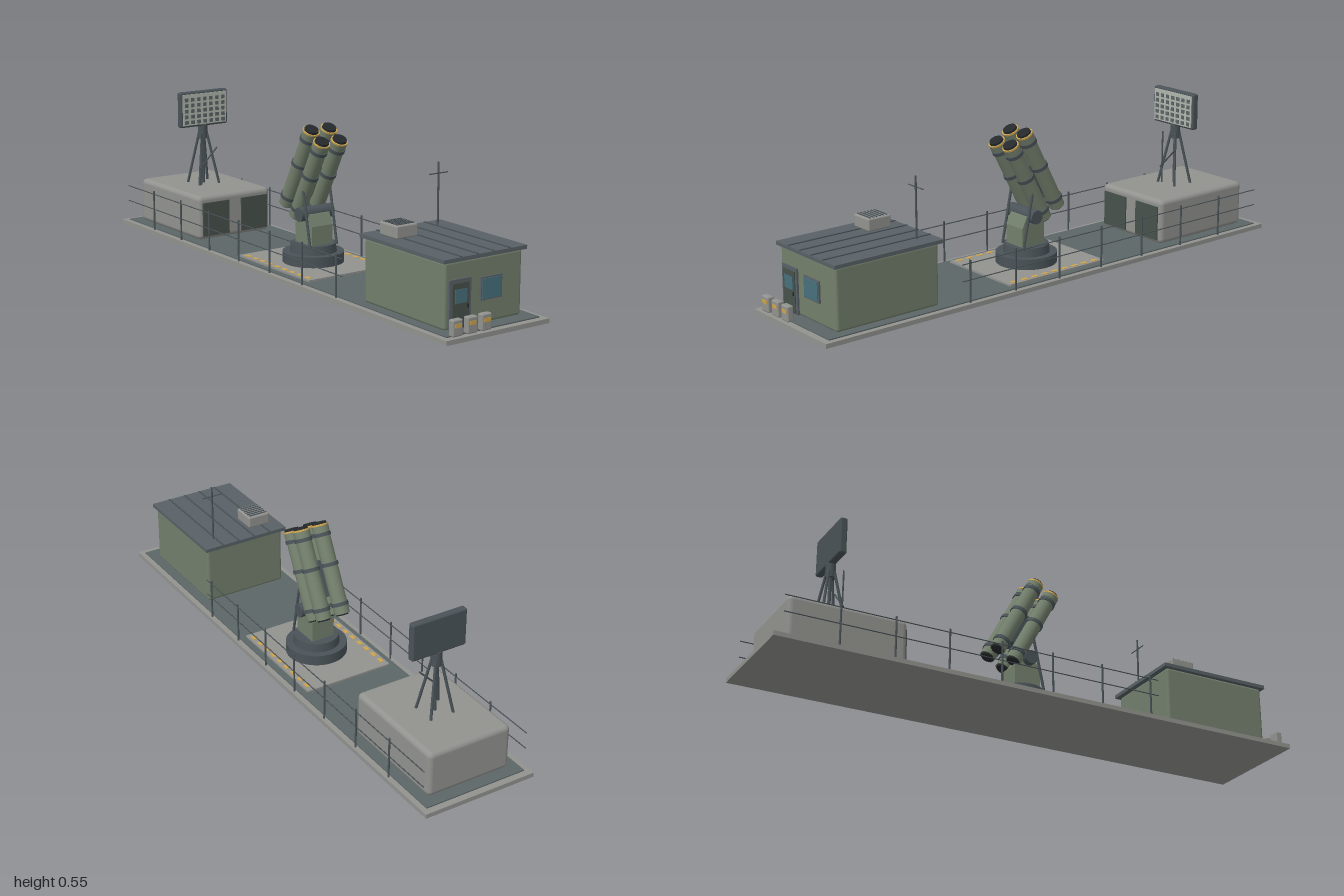
import * as THREE from 'three';
import { RoundedBoxGeometry } from 'three/addons/geometries/RoundedBoxGeometry.js';

const mat = (color) => new THREE.MeshStandardMaterial({ color });
const M = {
  grey: mat(0x92938f), deck: mat(0x5d6667), green: mat(0x737f6c), darkGreen: mat(0x47524b),
  steel: mat(0x4a5358), roof: mat(0x586166), glass: mat(0x47707c), yellow: mat(0xcfa44c),
  black: mat(0x25292b), panel: mat(0xb0b6ac),
};

function add(parent, name, geo, material, x = 0, y = 0, z = 0) {
  const mesh = new THREE.Mesh(geo, material);
  mesh.name = name;
  mesh.position.set(x, y, z);
  parent.add(mesh);
  return mesh;
}
// Box given by its limits on each axis, rounded when r > 0
function box(parent, name, material, [x0, x1], [y0, y1], [z0, z1], r = 0) {
  const s = [x1 - x0, y1 - y0, z1 - z0];
  const geo = r ? new RoundedBoxGeometry(...s, 3, r) : new THREE.BoxGeometry(...s);
  return add(parent, name, geo, material, (x0 + x1) / 2, (y0 + y1) / 2, (z0 + z1) / 2);
}
// Round bar between two points
function rod(parent, name, material, a, b, r, sides = 10) {
  const p = new THREE.Vector3(...a), q = new THREE.Vector3(...b);
  const d = q.clone().sub(p);
  const mesh = add(parent, name, new THREE.CylinderGeometry(r, r, d.length(), sides), material);
  mesh.position.copy(p).add(q).multiplyScalar(0.5);
  mesh.quaternion.setFromUnitVectors(new THREE.Vector3(0, 1, 0), d.normalize());
  return mesh;
}
function part(parent, name) {
  const g = new THREE.Group();
  g.name = name;
  parent.add(g);
  return g;
}

function buildDeck(root) {
  const g = part(root, 'deck');
  box(g, 'baseSlab', M.grey, [-0.213, 0.213], [0, 0.016], [-1, 1]);
  box(g, 'deckPlate', M.deck, [-0.193, 0.193], [0.014, 0.02], [-0.975, 0.975]);
  box(g, 'launcherPad', M.grey, [-0.17, 0.17], [0.018, 0.027], [-0.22, 0.213]);
  for (const x of [-0.154, 0.154])
    for (let i = 0; i < 9; i++) {
      const z = -0.185 + i * 0.046;
      box(g, 'warningDash', M.yellow, [x - 0.007, x + 0.007], [0.026, 0.0285], [z - 0.013, z + 0.013]);
    }
}

function buildRailings(root) {
  for (const x of [-0.201, 0.201]) {
    const g = part(root, x > 0 ? 'leftRailing' : 'rightRailing');
    for (let i = 0; i < 7; i++) {
      const z = 0.412 - i * 0.197;
      rod(g, 'railPost', M.steel, [x, 0.015, z], [x, 0.168, z], 0.0035);
    }
    for (const y of [0.097, 0.156]) rod(g, 'rail', M.steel, [x, y, 0.445], [x, y, -0.965], 0.002, 6);
  }
}

function buildCabin(root) {
  const g = part(root, 'cabin');
  box(g, 'cabinBody', M.green, [-0.16, 0.16], [0.018, 0.238], [0.512, 0.922], 0.01);
  box(g, 'cabinRoof', M.roof, [-0.171, 0.171], [0.237, 0.25], [0.498, 0.932]);
  for (const x of [-0.1, -0.033, 0.033, 0.1])
    box(g, 'roofRib', M.steel, [x - 0.003, x + 0.003], [0.249, 0.253], [0.5, 0.93]);

  // Door and front window
  box(g, 'doorFrame', M.roof, [-0.145, -0.057], [0.02, 0.18], [0.915, 0.929]);
  box(g, 'door', M.darkGreen, [-0.135, -0.067], [0.022, 0.168], [0.92, 0.932]);
  box(g, 'doorGlass', M.glass, [-0.125, -0.077], [0.103, 0.148], [0.925, 0.934]);
  box(g, 'doorHandle', M.black, [-0.076, -0.071], [0.085, 0.097], [0.925, 0.936]);
  box(g, 'windowFrame', M.roof, [-0.016, 0.071], [0.095, 0.171], [0.915, 0.929]);
  box(g, 'windowGlass', M.glass, [-0.011, 0.066], [0.1, 0.166], [0.922, 0.932]);

  // Roof ventilation unit
  box(g, 'ventUnit', M.grey, [-0.133, -0.045], [0.252, 0.297], [0.555, 0.648], 0.006);
  for (let i = 0; i < 6; i++) {
    const z = 0.568 + i * 0.0135;
    box(g, 'ventSlat', M.steel, [-0.126, -0.052], [0.295, 0.299], [z - 0.003, z + 0.003]);
  }

  // Aerial
  rod(g, 'aerialMast', M.steel, [0.107, 0.248, 0.562], [0.107, 0.466, 0.562], 0.0035);
  rod(g, 'aerialCrossbar', M.steel, [0.068, 0.428, 0.562], [0.147, 0.428, 0.562], 0.002);
}

function buildCrates(root) {
  const g = part(root, 'frontCrates');
  for (const x of [-0.16, -0.1, -0.042]) {
    box(g, 'crate', M.grey, [x - 0.02, x + 0.02], [0.018, 0.073], [0.967, 0.991], 0.005);
    box(g, 'crateLabel', M.yellow, [x - 0.013, x + 0.013], [0.047, 0.06], [0.985, 0.9925]);
  }
}

function buildLauncher(root) {
  const g = part(root, 'launcher');
  add(g, 'turntableBase', new THREE.CylinderGeometry(0.11, 0.11, 0.04, 40), M.steel, 0, 0.045, 0);
  add(g, 'turntable', new THREE.CylinderGeometry(0.08, 0.084, 0.032, 40), M.steel, 0, 0.08, 0);

  // Pedestal from a side profile (z, y), swept across x
  const profile = new THREE.Shape([[-0.045, 0.09], [0.055, 0.09], [0.055, 0.165], [0.035, 0.205],
    [0.012, 0.225], [-0.03, 0.205], [-0.045, 0.175]].map(([a, b]) => new THREE.Vector2(a, b)));
  const geo = new THREE.ExtrudeGeometry(profile, { depth: 0.09, bevelEnabled: false });
  geo.translate(0, 0, -0.045).rotateY(-Math.PI / 2);
  add(g, 'pedestal', geo, M.green);
  rod(g, 'trunnion', M.steel, [-0.07, 0.205, 0.008], [0.07, 0.205, 0.008], 0.025, 24);
  for (const x of [-0.058, 0.058])
    rod(g, 'elevationArm', M.steel, [x, 0.092, 0.062], [x, 0.303, 0.018], 0.005);

  // Four tubes tilted forward; local y runs along the tubes
  const cluster = part(g, 'tubeCluster');
  cluster.position.set(0, 0.205, -0.08);
  cluster.rotation.x = THREE.MathUtils.degToRad(28);
  box(cluster, 'cradle', M.steel, [-0.03, 0.03], [0.07, 0.2], [-0.025, 0.025]);
  for (const x of [-0.038, 0.038])
    for (const z of [-0.035, 0.035]) {
      const t = part(cluster, 'launchTube');
      t.position.set(x, 0, z);
      add(t, 'tubeBody', new THREE.CylinderGeometry(0.028, 0.028, 0.325, 28), M.green, 0, 0.1625, 0);
      for (const y of [0.035, 0.18, 0.288])
        add(t, 'tubeBand', new THREE.CylinderGeometry(0.0315, 0.0315, 0.013, 28), M.steel, 0, y, 0);
      add(t, 'tubeCollar', new THREE.CylinderGeometry(0.03, 0.03, 0.02, 28), M.green, 0, 0.31, 0);
      add(t, 'muzzleRing', new THREE.CylinderGeometry(0.0305, 0.0305, 0.006, 28), M.yellow, 0, 0.322, 0);
      add(t, 'muzzleCap', new THREE.CylinderGeometry(0.0245, 0.026, 0.011, 28), M.black, 0, 0.327, 0);
      add(t, 'rearCap', new THREE.CylinderGeometry(0.025, 0.022, 0.006, 28), M.black, 0, -0.002, 0);
    }
}

function buildRearModule(root) {
  const g = part(root, 'rearModule');
  box(g, 'moduleBody', M.grey, [-0.16, 0.16], [0.018, 0.185], [-0.936, -0.512], 0.018);
  for (const x of [-0.085, 0.085])
    box(g, 'moduleDoor', M.darkGreen, [x - 0.058, x + 0.058], [0.032, 0.16], [-0.52, -0.507]);
}

function buildRadar(root) {
  const g = part(root, 'radar');
  const zc = -0.733;
  for (const sx of [-1, 1])
    for (const sz of [-1, 1])
      rod(g, 'trestleLeg', M.steel, [sx * 0.045, 0.18, zc + sz * 0.043], [sx * 0.01, 0.385, zc + sz * 0.01], 0.005);
  rod(g, 'centreMast', M.steel, [0, 0.18, zc], [0, 0.38, zc], 0.006);
  rod(g, 'brace', M.steel, [-0.04, 0.245, -0.697], [0.04, 0.325, -0.697], 0.003);
  rod(g, 'sidePole', M.steel, [-0.03, 0.18, -0.697], [-0.03, 0.385, -0.697], 0.003);
  rod(g, 'mastHead', M.steel, [0, 0.36, zc], [0, 0.415, zc], 0.018, 20);

  // Antenna panel with its grid of elements
  box(g, 'panelFrame', M.steel, [-0.105, 0.105], [0.409, 0.545], [-0.747, -0.72], 0.007);
  box(g, 'panelFace', M.panel, [-0.097, 0.097], [0.417, 0.537], [-0.73, -0.717]);
  for (let c = 0; c < 7; c++)
    for (let r = 0; r < 5; r++) {
      const x = (c - 3) * 0.0272, y = 0.429 + r * 0.0217;
      box(g, 'panelElement', M.deck, [x - 0.0075, x + 0.0075], [y - 0.007, y + 0.007], [-0.72, -0.7145]);
    }
}

export function createModel() {
  const root = new THREE.Group();
  root.name = 'launcherPlatform';
  [buildDeck, buildRailings, buildCabin, buildCrates, buildLauncher, buildRearModule, buildRadar]
    .forEach((build) => build(root));
  return root;
}
